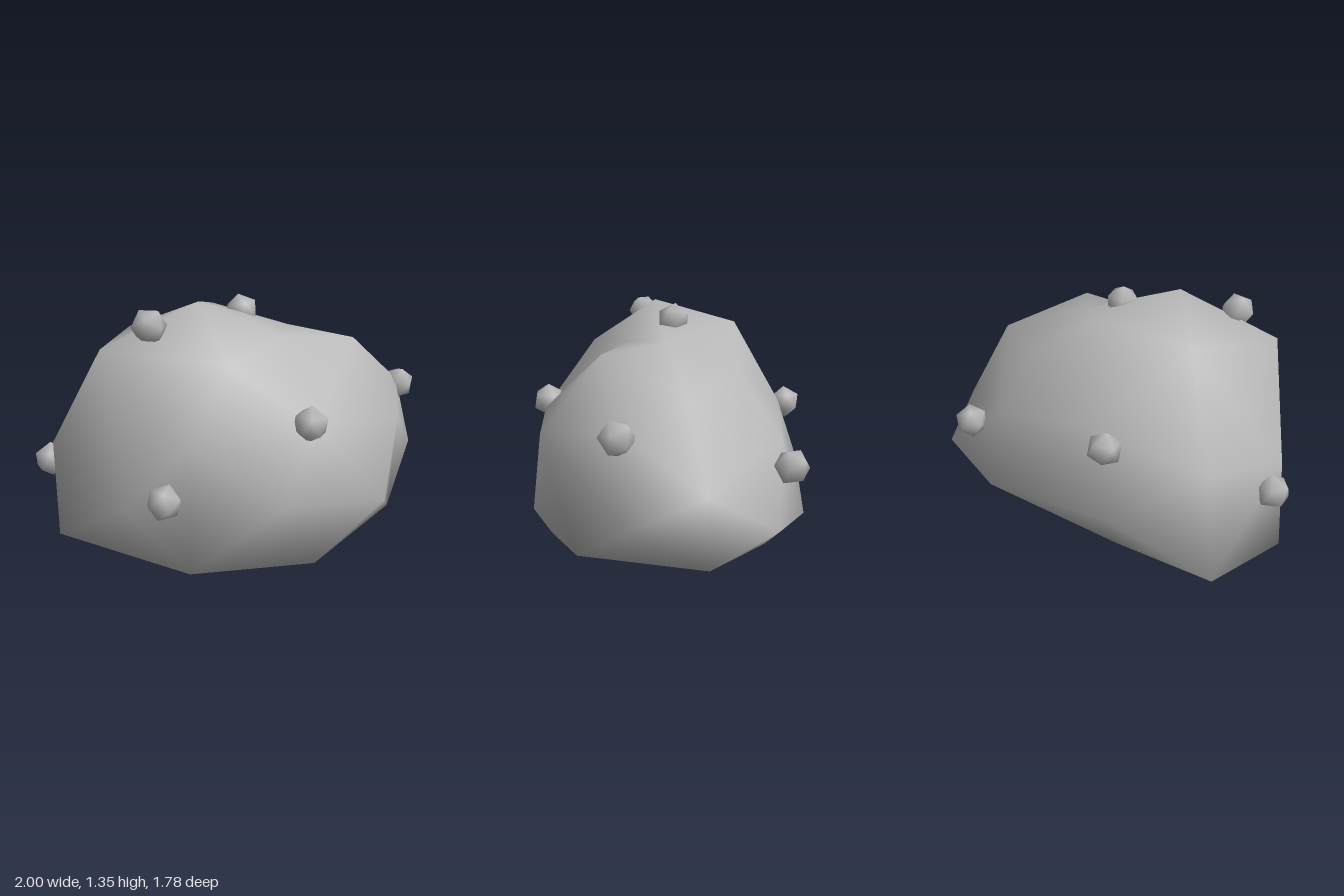
import * as THREE from 'three';
import { ConvexGeometry } from 'three/addons/geometries/ConvexGeometry.js';
import { mergeVertices } from 'three/addons/utils/BufferGeometryUtils.js';

const stone = new THREE.MeshStandardMaterial({ color: 0xb8b8b8 });
stone.name = 'stoneGrey';

// Weld the corners so the facets shade smoothly
function smooth(geometry) {
  geometry.deleteAttribute('normal');
  geometry.deleteAttribute('uv');
  const welded = mergeVertices(geometry, 1e-4);
  welded.computeVertexNormals();
  return welded;
}

// Skin a star-shaped set of corners: connect them by direction, then restore distances
function skin(corners, centre) {
  const dirs = corners.map((c) => c.clone().sub(centre).normalize());
  const geometry = new ConvexGeometry(dirs);
  const pos = geometry.attributes.position;
  const p = new THREE.Vector3();
  for (let i = 0; i < pos.count; i++) {
    p.fromBufferAttribute(pos, i);
    let best = 0;
    dirs.forEach((d, k) => {
      if (d.distanceToSquared(p) < dirs[best].distanceToSquared(p)) best = k;
    });
    pos.setXYZ(i, ...corners[best].toArray());
  }
  return smooth(geometry);
}

// Boulder corners, grouped by height
const base = [
  [0, 0, 0.34], [0.54, 0.08, 0.53], [-0.05, 0.08, 0.76], [-0.44, 0.1, -0.2],
  [-0.8, 0.14, 0.58], [-1, 0.17, 0.09], [0.89, 0.19, 0], [0.29, 0.22, -0.69],
  [0.76, 0.24, -0.69], [0.02, 0.32, -0.76],
];
const flanks = [
  [0.87, 0.36, 0.31], [0.49, 0.39, -0.89], [-0.67, 0.41, -0.33], [1, 0.43, -0.42],
  [-0.37, 0.4, 0.76], [0.41, 0.45, 0.71], [0.76, 0.57, -0.69], [-0.82, 0.64, 0.54],
  [-0.87, 0.66, 0.1], [0.1, 0.7, -0.67], [-0.05, 0.74, 0.79], [0.91, 0.77, 0.2],
  [0.55, 0.8, 0.53], [-0.37, 0.8, -0.37], [0.9, 0.84, -0.3],
];
const crown = [
  [0.64, 1, -0.48], [0.15, 1.02, -0.45], [0.1, 1.12, 0.58], [0.66, 1.14, 0.02],
  [-0.5, 1.17, 0.65], [-0.51, 1.18, 0.16], [0.3, 1.17, -0.1], [0.3, 1.16, 0.14],
  [-0.14, 1.25, -0.22], [-0.1, 1.35, 0.29],
];

// Pebble centres, half sunk into the boulder
const pebbles = [
  [-0.29, 1.265, 0.53], [0.07, 1.26, 0.03], [0.5, 0.83, 0.55], [0.91, 0.82, -0.29],
  [-0.16, 0.48, 0.81], [0.23, 0.62, -0.8], [-0.865, 0.52, 0.47], [-0.57, 0.75, -0.3],
];

export function createModel() {
  const model = new THREE.Group();
  model.name = 'studdedBoulder';

  const corners = [...base, ...flanks, ...crown].map((c) => new THREE.Vector3(...c));
  const boulder = new THREE.Mesh(skin(corners, new THREE.Vector3(0, 0.55, 0)), stone);
  boulder.name = 'boulder';
  model.add(boulder);

  const pebbleShape = smooth(new THREE.IcosahedronGeometry(0.091, 0));
  pebbles.forEach((centre, i) => {
    const pebble = new THREE.Mesh(pebbleShape, stone);
    pebble.name = `pebble${i + 1}`;
    pebble.position.set(...centre);
    pebble.rotation.set(i * 1.3, i * 0.7, i * 2.1);
    model.add(pebble);
  });
  return model;
}
